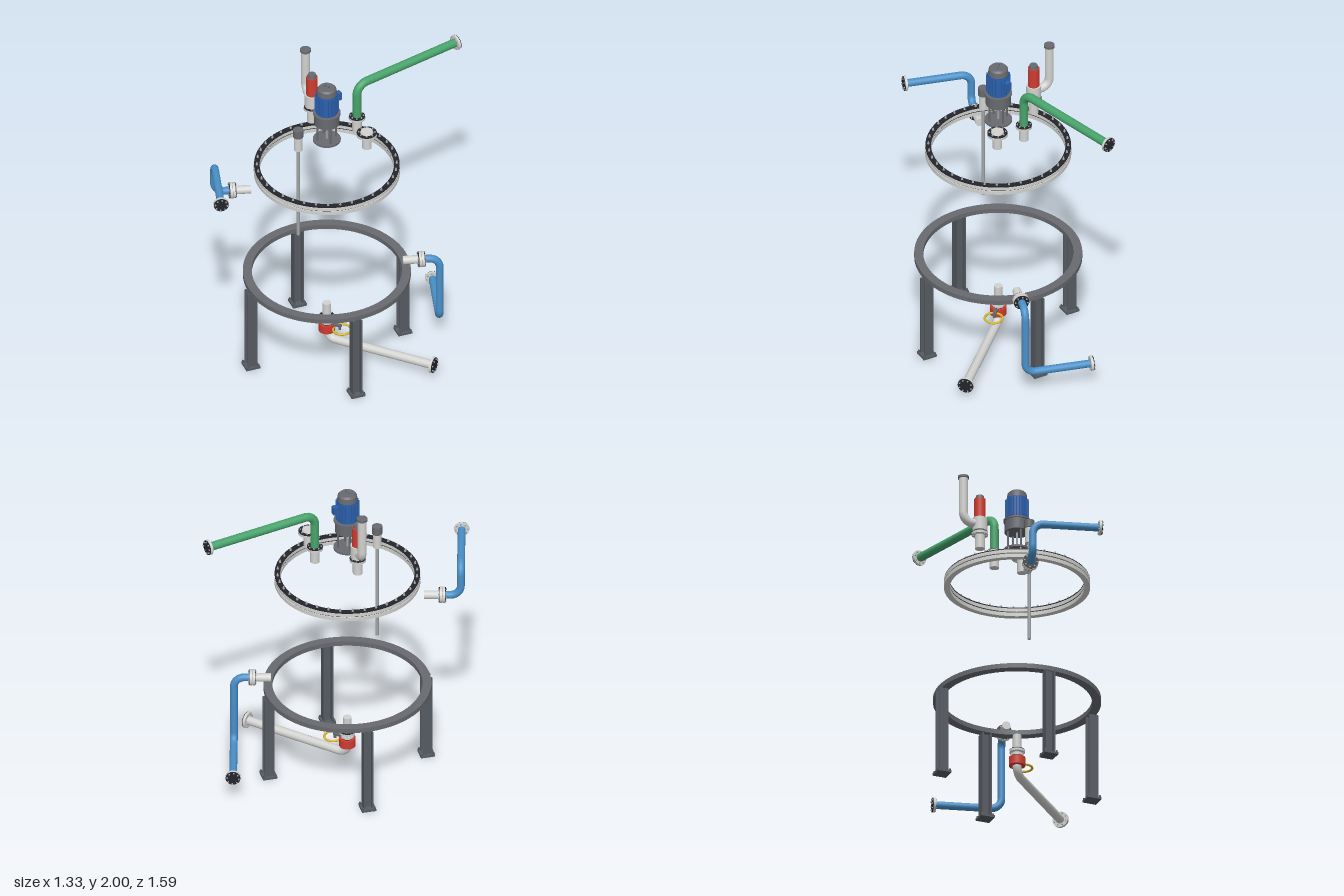
import * as THREE from 'three';

const mat = (name, color) => new THREE.MeshStandardMaterial({ name, color });
const M = {
  light: mat('pale steel', 0xd2d2d0), dark: mat('dark grey', 0x686a6f), leg: mat('leg grey', 0x565b62),
  black: mat('gasket black', 0x24252b), steel: mat('mid steel', 0xa3a5a8), blue: mat('pipe blue', 0x4a90c8),
  motor: mat('motor blue', 0x2b60ad), green: mat('pipe green', 0x48a36b), red: mat('valve red', 0xd03c30),
  yellow: mat('wheel yellow', 0xd8b828),
};
const V = (x, y, z) => new THREE.Vector3(x, y, z);
const UP = V(0, 1, 0);
const CX = -0.05, CZ = 0.063; // vessel axis

function add(parent, name, geo, material, x = 0, y = 0, z = 0) {
  const m = new THREE.Mesh(geo, material);
  m.name = name;
  m.position.set(x, y, z);
  parent.add(m);
  return m;
}

// Upright cylinder between two heights
function cyl(parent, name, material, r, y0, y1, x = 0, z = 0, rTop = r, sides = 28) {
  return add(parent, name, new THREE.CylinderGeometry(rTop, r, y1 - y0, sides), material, x, (y0 + y1) / 2, z);
}

// Group whose local +y points along dir
function aimed(parent, name, pos, dir) {
  const g = new THREE.Group();
  g.name = name;
  g.position.copy(pos);
  g.quaternion.setFromUnitVectors(UP, dir);
  parent.add(g);
  return g;
}

// Flat ring with rectangular section
function band(parent, name, material, rIn, rOut, y0, y1) {
  const p = [[rIn, y0], [rOut, y0], [rOut, y0], [rOut, y1], [rOut, y1], [rIn, y1], [rIn, y1], [rIn, y0]];
  for (let i = 0; i < 8; i += 2) {
    const pts = [p[i], p[i + 1]].map(a => new THREE.Vector2(...a));
    add(parent, name, new THREE.LatheGeometry(pts, 96), material, CX, 0, CZ);
  }
}

// Bolted disc with a dark outer face
function flange(parent, pos, dir, r = 0.049) {
  const g = aimed(parent, 'flange', pos, dir);
  cyl(g, 'flangeDisc', M.light, r, -0.009, 0.006);
  cyl(g, 'flangeFace', M.black, r * 0.97, 0.006, 0.01);
  for (let i = 0; i < 8; i++) {
    const a = (i + 0.5) * Math.PI / 4;
    cyl(g, 'flangeBolt', M.steel, 0.005, -0.014, 0.016, Math.cos(a) * r * 0.78, Math.sin(a) * r * 0.78, 0.005, 6);
  }
  return g;
}

// Pipe through points, with rounded elbows
function pipe(parent, name, material, pts, r, bend = 0.06) {
  const path = new THREE.CurvePath();
  let last = pts[0];
  for (let i = 1; i < pts.length - 1; i++) {
    const p = pts[i];
    const a = p.clone().add(pts[i - 1].clone().sub(p).setLength(bend));
    const b = p.clone().add(pts[i + 1].clone().sub(p).setLength(bend));
    const k = 0.55;
    path.add(new THREE.LineCurve3(last, a));
    path.add(new THREE.CubicBezierCurve3(a, a.clone().lerp(p, k), b.clone().lerp(p, k), b));
    last = b;
  }
  path.add(new THREE.LineCurve3(last, pts[pts.length - 1]));
  return add(parent, name, new THREE.TubeGeometry(path, 90, r, 20), material);
}

// Side nozzle and its blue line: out, up or down, then sideways
function sideLine(parent, name, s, y0, y1) {
  const g = new THREE.Group();
  g.name = name;
  parent.add(g);
  const out = V(0.866 * s, 0, -0.5 * s), along = V(-0.5 * s, 0, -0.866 * s);
  if (s < 0) along.set(0.5, 0, 0.866);
  const at = (r, y) => V(CX, y, CZ).addScaledVector(out, r);
  const n = aimed(g, 'sideNozzle', at(0, y0), out);
  cyl(n, 'nozzleTube', M.light, 0.026, 0.46, 0.57);
  flange(g, at(0.562, y0), out.clone().negate());
  flange(g, at(0.582, y0), out);
  const end = at(0.683, y1).addScaledVector(along, 0.41);
  pipe(g, 'bluePipe', M.blue, [at(0.58, y0), at(0.683, y0), at(0.683, y1), end], 0.0235, 0.065);
  flange(g, end, along, 0.046);
}

function buildStand(root) {
  const g = new THREE.Group();
  g.name = 'stand';
  root.add(g);
  band(g, 'supportRing', M.dark, 0.452, 0.506, 0.56, 0.59);
  // H-section legs on square feet
  const w = 0.03, t = 0.005, s = new THREE.Shape();
  [[-w, -w], [w, -w], [w, -w + 2 * t], [t, -w + 2 * t], [t, w - 2 * t], [w, w - 2 * t], [w, w], [-w, w],
    [-w, w - 2 * t], [-t, w - 2 * t], [-t, -w + 2 * t], [-w, -w + 2 * t]]
    .forEach(([x, y], i) => (i ? s.lineTo(x, y) : s.moveTo(x, y)));
  const legGeo = new THREE.ExtrudeGeometry(s, { depth: 0.545, bevelEnabled: false }).rotateX(-Math.PI / 2);
  for (let i = 0; i < 4; i++) {
    const a = Math.PI / 4 + i * Math.PI / 2;
    const leg = new THREE.Group();
    leg.name = 'leg';
    leg.position.set(CX + 0.49 * Math.cos(a), 0, CZ + 0.49 * Math.sin(a));
    leg.rotation.y = -a;
    g.add(leg);
    add(leg, 'legBeam', legGeo, M.leg, 0, 0.015, 0);
    add(leg, 'footPlate', new THREE.BoxGeometry(0.088, 0.015, 0.088), M.leg, 0, 0.0075, 0);
    for (const x of [-1, 1]) for (const z of [-1, 1])
      cyl(leg, 'footBolt', M.leg, 0.006, 0.015, 0.026, x * 0.036, z * 0.036, 0.006, 6);
  }
}

function buildBodyFlange(root) {
  const g = new THREE.Group();
  g.name = 'bodyFlange';
  root.add(g);
  band(g, 'lowerFlangeRing', M.light, 0.405, 0.44, 1.325, 1.349);
  band(g, 'flangeGasket', M.black, 0.407, 0.434, 1.349, 1.355);
  band(g, 'upperFlangeRing', M.light, 0.405, 0.44, 1.355, 1.376);
  band(g, 'flangeTopFace', M.black, 0.405, 0.438, 1.376, 1.383);
  for (let i = 0; i < 36; i++) {
    const a = (i + 0.5) * Math.PI / 18;
    cyl(g, 'flangeBolt', M.steel, 0.008, 1.383, 1.4, CX + 0.421 * Math.cos(a), CZ + 0.421 * Math.sin(a), 0.004, 6);
  }
}

function buildDrain(root) {
  const g = new THREE.Group();
  g.name = 'drain';
  root.add(g);
  cyl(g, 'drainNozzle', M.light, 0.026, 0.19, 0.345, CX, CZ);
  flange(g, V(CX, 0.238, CZ), UP, 0.047);
  flange(g, V(CX, 0.21, CZ), V(0, -1, 0), 0.04);
  cyl(g, 'valveBody', M.red, 0.05, 0.142, 0.196, CX, CZ);
  add(g, 'valveStem', new THREE.BoxGeometry(0.06, 0.014, 0.018), M.dark, 0.015, 0.195, CZ);
  const wheel = add(g, 'handWheel', new THREE.TorusGeometry(0.054, 0.007, 10, 36), M.yellow, 0.05, 0.172, CZ);
  wheel.rotation.x = Math.PI / 2;
  cyl(g, 'wheelHub', M.dark, 0.009, 0.168, 0.195, 0.035, CZ, 0.009, 12);
  pipe(g, 'drainPipe', M.light, [V(CX, 0.15, CZ), V(CX, 0.087, CZ), V(0.65, 0.087, CZ)], 0.027, 0.06);
  flange(g, V(0.65, 0.087, CZ), V(1, 0, 0), 0.05);
}

function buildMotor(root) {
  const g = new THREE.Group();
  g.name = 'agitatorMotor';
  g.position.set(CX, 0, CZ);
  root.add(g);
  cyl(g, 'basePlate', M.dark, 0.084, 1.564, 1.576);
  for (const x of [-0.042, 0.042]) for (const z of [-0.042, 0.042])
    cyl(g, 'post', M.dark, 0.006, 1.576, 1.695, x, z, 0.006, 10);
  cyl(g, 'shaft', M.steel, 0.007, 1.576, 1.695, 0, 0, 0.007, 12);
  cyl(g, 'gearbox', M.dark, 0.076, 1.69, 1.76);
  cyl(g, 'gearboxRim', M.dark, 0.083, 1.76, 1.772);
  cyl(g, 'motorBody', M.motor, 0.064, 1.772, 1.912);
  for (let i = 0; i < 20; i++) {
    const a = i * Math.PI / 10;
    const fin = add(g, 'coolingFin', new THREE.BoxGeometry(0.012, 0.118, 0.006), M.motor,
      0.067 * Math.cos(a), 1.842, 0.067 * Math.sin(a));
    fin.rotation.y = -a;
  }
  cyl(g, 'fanCowl', M.dark, 0.062, 1.912, 1.945, 0, 0, 0.058);
  cyl(g, 'cowlTop', M.dark, 0.058, 1.945, 1.956, 0, 0, 0.048);
  add(g, 'liftingEye', new THREE.TorusGeometry(0.013, 0.004, 8, 20), M.dark, 0, 1.962, 0);
  const box = add(g, 'terminalBox', new THREE.BoxGeometry(0.04, 0.05, 0.036), M.motor, 0.042, 1.86, -0.067);
  box.rotation.y = 1.01;
}

function buildLidFittings(root) {
  const g = new THREE.Group();
  g.name = 'lidFittings';
  root.add(g);
  // Green line
  const gx = 0.063, gz = -0.13, dir = V(0.5, 0, -0.866);
  cyl(g, 'greenNozzle', M.light, 0.029, 1.538, 1.635, gx, gz);
  flange(g, V(gx, 1.637, gz), UP, 0.05);
  const end = V(gx, 1.875, gz).addScaledVector(dir, 0.735);
  pipe(g, 'greenPipe', M.green, [V(gx, 1.64, gz), V(gx, 1.875, gz), end], 0.0265, 0.07);
  flange(g, end, dir, 0.047);
  // Spare nozzle with blind cover
  cyl(g, 'spareNozzle', M.light, 0.029, 1.535, 1.63, 0.185, 0);
  flange(g, V(0.185, 1.637, 0), UP, 0.063);
  cyl(g, 'blindCover', M.light, 0.041, 1.645, 1.658, 0.185, 0, 0.036);
  // Relief valve and vent
  const rx = -0.224, rz = -0.108, vx = -0.3, vz = -0.184;
  cyl(g, 'reliefNozzle', M.light, 0.03, 1.538, 1.66, rx, rz);
  flange(g, V(rx, 1.637, rz), UP, 0.05);
  cyl(g, 'reliefBody', M.light, 0.045, 1.655, 1.738, rx, rz);
  cyl(g, 'reliefBonnet', M.red, 0.035, 1.738, 1.865, rx, rz);
  cyl(g, 'reliefCap', M.dark, 0.028, 1.865, 1.888, rx, rz, 0.024);
  pipe(g, 'ventPipe', M.light, [V(rx, 1.7, rz), V(vx, 1.7, vz), V(vx, 1.988, vz)], 0.027, 0.06);
  cyl(g, 'ventCollar', M.dark, 0.033, 1.985, 2, vx, vz);
  // Level probe
  cyl(g, 'probeNozzle', M.light, 0.026, 1.54, 1.64, -0.18, 0.195);
  cyl(g, 'probeHead', M.dark, 0.031, 1.638, 1.69, -0.18, 0.195);
  cyl(g, 'probeRod', M.steel, 0.01, 0.905, 1.545, -0.18, 0.195, 0.01, 16);
}

export function createModel() {
  const root = new THREE.Group();
  root.name = 'vesselFittings';
  buildStand(root);
  buildBodyFlange(root);
  buildDrain(root);
  buildMotor(root);
  buildLidFittings(root);
  sideLine(root, 'lowerSideLine', 1, 0.625, 0.172);
  sideLine(root, 'upperSideLine', -1, 1.23, 1.435);
  return root;
}
